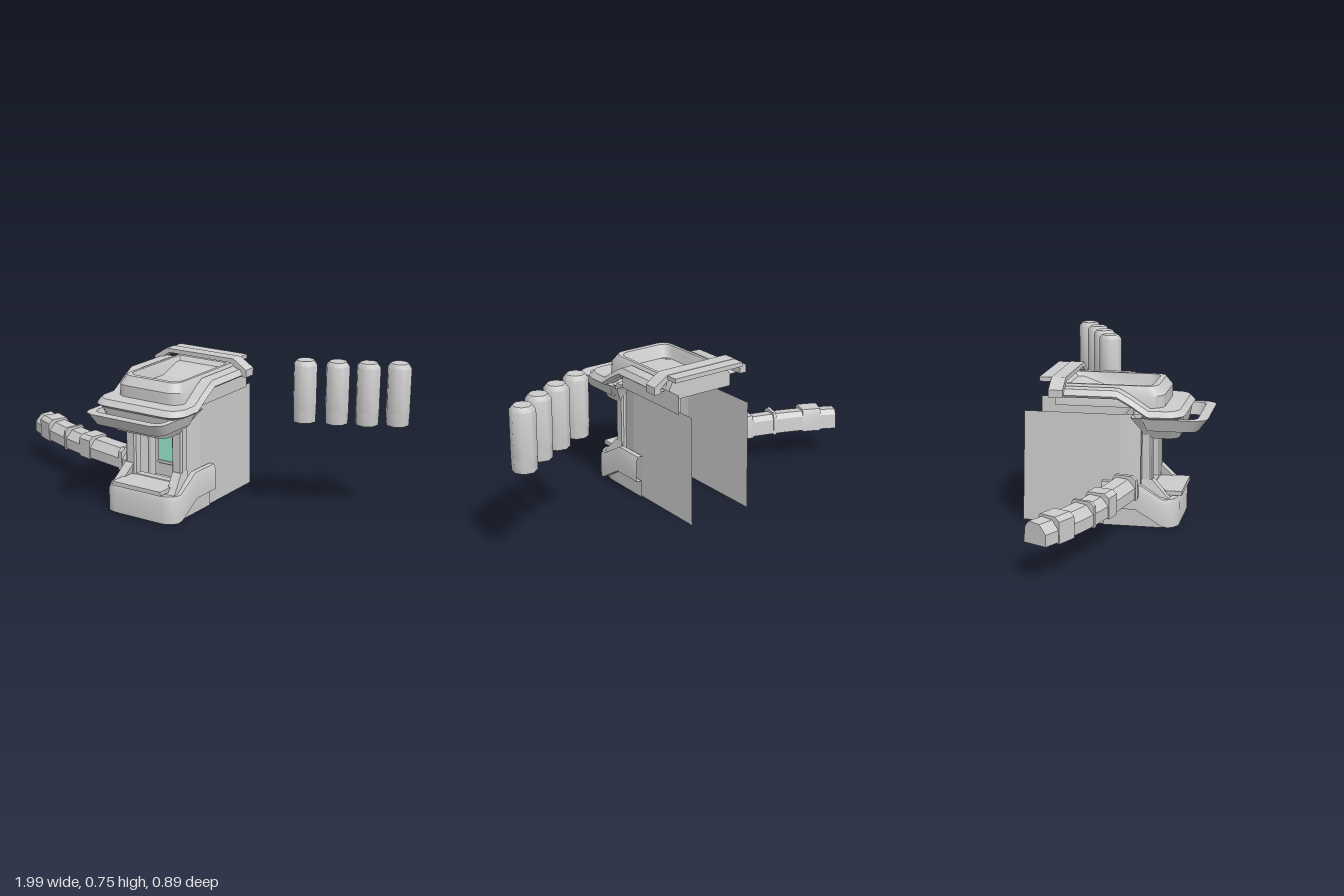
import * as THREE from 'three';
import { toCreasedNormals } from 'three/addons/utils/BufferGeometryUtils.js';

const grey = new THREE.MeshStandardMaterial({ color: 0xcccccc, side: THREE.DoubleSide });
const outerOnly = new THREE.MeshStandardMaterial({ color: 0xcccccc });
const teal = new THREE.MeshStandardMaterial({ color: 0x99eacc });

function add(parent, name, geometry, material = grey) {
  const mesh = new THREE.Mesh(geometry, material);
  mesh.name = name;
  parent.add(mesh);
  return mesh;
}

function box(parent, name, x0, x1, y0, y1, z0, z1, material = grey) {
  const m = add(parent, name, new THREE.BoxGeometry(x1 - x0, y1 - y0, z1 - z0), material);
  m.position.set((x0 + x1) / 2, (y0 + y1) / 2, (z0 + z1) / 2);
  return m;
}

// Skins a list of cross-sections (equal point counts); optional closing and end caps.
function loft(sections, { closed = false, wrap = false, caps = [], crease = 0.6 } = {}) {
  const pos = [];
  const tri = (a, b, c) => pos.push(...a, ...b, ...c);
  const n = sections[0].length;
  const rows = wrap ? sections.length : sections.length - 1;
  for (let i = 0; i < rows; i++) {
    const a = sections[i], b = sections[(i + 1) % sections.length];
    for (let j = 0; j < (closed ? n : n - 1); j++) {
      const k = (j + 1) % n;
      tri(a[j], b[k], a[k]);
      tri(a[j], b[j], b[k]);
    }
  }
  for (const c of caps) {
    const s = sections[c], mid = [0, 1, 2].map(k => s.reduce((t, p) => t + p[k], 0) / n);
    for (let j = 0; j < n; j++) c ? tri(mid, s[(j + 1) % n], s[j]) : tri(mid, s[j], s[(j + 1) % n]);
  }
  const g = new THREE.BufferGeometry();
  g.setAttribute('position', new THREE.Float32BufferAttribute(pos, 3));
  return toCreasedNormals(g, crease);
}

// U-shaped outline in plan with rounded front corners; height may depend on z.
function outline(hw, back, front, r, height, stops = []) {
  const y = typeof height === 'function' ? height : () => height;
  const half = [back, ...stops].map(z => [hw, z]);
  for (let i = 0; i <= 4; i++) {
    const a = (i / 4) * Math.PI / 2;
    half.push([hw - r + r * Math.cos(a), front - r + r * Math.sin(a)]);
  }
  const full = [...half, ...half.slice().reverse().map(([x, z]) => [-x, z])];
  return full.map(([x, z]) => [x, y(z), z]);
}

// Straight ramp between two heights along z
const ramp = (z0, y0, z1, y1) => z =>
  y0 + (y1 - y0) * THREE.MathUtils.clamp((z - z0) / (z1 - z0), 0, 1);

function polygon(points, hole) {
  const s = new THREE.Shape(points.map(p => new THREE.Vector2(...p)));
  if (hole) s.holes.push(new THREE.Path(hole.map(p => new THREE.Vector2(...p))));
  return s;
}

function buildBase(m) {
  const rim = ramp(0.12, 0.21, 0.24, 0.138), stops = [0.12, 0.18];
  const upper = z => rim(z) - 0.025;
  const low = ramp(0.12, 0.085, 0.25, 0.006);
  // Front tub whose arms sweep up along both sides
  add(m, 'baseShell', loft([
    outline(0.168, -0.035, 0.28, 0.06, 0, stops),
    outline(0.17, -0.035, 0.29, 0.06, low, stops),
    outline(0.2, -0.035, 0.31, 0.07, z => low(z) + 0.003, stops),
    outline(0.2, -0.035, 0.31, 0.07, upper, stops),
    outline(0.19, -0.035, 0.3, 0.06, rim, stops),
    outline(0.165, -0.035, 0.275, 0.05, rim, stops),
    outline(0.16, -0.035, 0.27, 0.05, 0.003, stops),
  ], { wrap: true }));
  box(m, 'baseShelf', -0.16, 0.16, 0.122, 0.135, 0.04, 0.28);
  box(m, 'dripTray', -0.135, 0.135, 0.145, 0.165, 0.15, 0.322);
}

function buildBody(m) {
  for (const s of [-1, 1]) {
    // Mirrors a section across x, keeping its faces outward
    const mirror = pts => (s > 0 ? pts : pts.map(([x, y, z]) => [-x, y, z]).reverse());
    // Thin side panel with an angled front corner
    add(m, 'sidePanel', loft([
      mirror([[0.16, 0, -0.41], [0.16, 0, 0.04], [0.135, 0, 0.14]]),
      mirror([[0.16, 0.515, -0.395], [0.16, 0.515, 0.04], [0.135, 0.515, 0.14]]),
    ], { crease: 0.05 }));
    // Flared foot of the front pillar
    add(m, 'pillarFoot', loft([
      mirror([[0.11, 0.22, 0.19], [0.158, 0.22, 0.19], [0.158, 0.22, 0.14], [0.11, 0.22, 0.14]]),
      mirror([[0.13, 0.13, 0.275], [0.175, 0.13, 0.275], [0.175, 0.13, 0.14], [0.13, 0.13, 0.14]]),
    ], { closed: true, caps: [0, 1] }));
    box(m, 'recessWall', s * 0.12 - 0.005, s * 0.12 + 0.005, 0.13, 0.5, 0.05, 0.15);
    const rod = add(m, 'recessColumn', new THREE.CylinderGeometry(0.02, 0.02, 0.3, 10));
    rod.position.set(s * 0.08, 0.28, 0.085);
  }
  const frame = new THREE.ExtrudeGeometry(polygon(
    [[-0.15, 0.13], [0.15, 0.13], [0.15, 0.5], [-0.15, 0.5]],
    [[-0.11, 0.16], [0.11, 0.16], [0.11, 0.38], [0.08, 0.42], [-0.08, 0.42], [-0.11, 0.38]],
  ), { depth: 0.035, bevelThickness: 0.008, bevelSize: 0.008, bevelSegments: 1 });
  add(m, 'frontFrame', frame).position.z = 0.144;
  box(m, 'recessBack', -0.12, 0.12, 0.13, 0.5, 0.045, 0.055);
  box(m, 'windowPanel', -0.05, 0.05, 0.2, 0.37, 0.055, 0.075, teal);
  box(m, 'windowSill', -0.05, 0.05, 0.205, 0.218, 0.06, 0.082);
  const wall = add(m, 'upperSideWall', new THREE.PlaneGeometry(0.43, 0.09), outerOnly);
  wall.rotation.y = Math.PI / 2;
  wall.position.set(0.18, 0.558, -0.115);
}

function buildTop(m) {
  // Tapered underside of the canopy
  add(m, 'canopyUnderside', loft([
    outline(0.15, 0.15, 0.305, 0.05, 0.41),
    outline(0.17, 0.14, 0.318, 0.05, 0.45),
    outline(0.215, 0.1, 0.328, 0.06, 0.515),
  ], { closed: true, caps: [0] }));

  // Front grab bar
  add(m, 'grabBar', loft([
    outline(0.19, 0.17, 0.395, 0.05, 0.452),
    outline(0.212, 0.15, 0.438, 0.06, 0.51),
    outline(0.182, 0.15, 0.392, 0.04, 0.51),
    outline(0.17, 0.17, 0.37, 0.04, 0.452),
  ], { wrap: true }));

  // Canopy skirt, stepping up towards the back
  const stops = [0.04, 0.1, 0.18];
  const at = y => { const f = ramp(0.05, 0.085, 0.18, 0); return z => y + f(z); };
  add(m, 'canopy', loft([
    outline(0.17, -0.23, 0.23, 0.05, at(0.51), stops),
    outline(0.225, -0.23, 0.32, 0.08, at(0.512), stops),
    outline(0.243, -0.23, 0.338, 0.08, at(0.525), stops),
    outline(0.225, -0.23, 0.315, 0.07, at(0.55), stops),
    outline(0.17, -0.23, 0.23, 0.05, at(0.552), stops),
  ], { wrap: true }));

  // Raised hood with a sunken tray
  const floor = ramp(-0.18, 0.625, -0.07, 0.585);
  add(m, 'hood', loft([
    outline(0.175, -0.25, 0.24, 0.06, 0.55, [-0.07]),
    outline(0.172, -0.25, 0.24, 0.06, 0.605, [-0.07]),
    outline(0.15, -0.25, 0.21, 0.05, 0.645, [-0.07]),
    outline(0.135, -0.23, 0.185, 0.045, 0.645, [-0.07]),
    outline(0.12, -0.21, 0.16, 0.04, floor, [-0.07]),
  ], { closed: true }));
  const f = (x, z) => [x, floor(z), z];
  add(m, 'hoodTray', loft([-0.21, -0.18, -0.07, 0.12, 0.16].map(z => {
    const w = z > 0.13 ? 0.08 : 0.12;
    return [f(-w, z), f(w, z)];
  }), { crease: 0.1 }));

  // Rear arch and its overhanging plate
  const arch = polygon([
    [-0.26, 0.6], [-0.26, 0.635], [-0.19, 0.68], [0.19, 0.68], [0.26, 0.635], [0.26, 0.6],
    [0.225, 0.6], [0.225, 0.625], [0.175, 0.66], [-0.175, 0.66], [-0.225, 0.625], [-0.225, 0.6],
  ]);
  add(m, 'rearArch', new THREE.ExtrudeGeometry(arch, { depth: 0.065, bevelEnabled: false }))
    .position.z = -0.26;
  box(m, 'rearPlate', -0.19, 0.19, 0.658, 0.678, -0.317, -0.23);
}

function buildArm(root) {
  const arm = new THREE.Group();
  arm.name = 'sideArm';
  root.add(arm);
  const path = new THREE.CatmullRomCurve3(
    [[-0.27, 0.03], [-0.525, -0.075], [-0.7, -0.16], [-0.85, -0.252], [-0.96, -0.335]]
      .map(([x, z]) => new THREE.Vector3(x, 0, z)));
  const beam = [[-0.05, 0.22], [-0.03, 0.243], [0.025, 0.238], [0.058, 0.2], [0.058, 0.15], [-0.058, 0.15]];
  // Blocks gripping the front and top, flush with the smooth rear face
  const clamp = [[-0.052, 0.23], [-0.04, 0.253], [0.04, 0.253], [0.062, 0.235], [0.062, 0.143], [-0.058, 0.143]];
  const section = (profile, t) => {
    const p = path.getPointAt(t), d = path.getTangentAt(t);
    return profile.map(([o, y]) => [p.x + d.z * o, y, p.z - d.x * o]);
  };
  const span = (name, profile, t0, t1, steps) => add(arm, name, loft(
    Array.from({ length: steps + 1 }, (_, i) => section(profile, t0 + (t1 - t0) * i / steps)),
    { closed: true, caps: [0, steps], crease: 0.5 }));
  span('armBeam', beam, 0, 1, 16);
  span('armClamp', clamp, 0.33, 0.43, 2);
  span('armClamp', clamp, 0.78, 0.9, 2);
  span('armRing', clamp, 0.575, 0.595, 1);
  span('armRing', clamp, 0.03, 0.06, 1);
}

function buildCanisters(root) {
  const lathe = pts => toCreasedNormals(
    new THREE.LatheGeometry(pts.map(p => new THREE.Vector2(...p)), 8), 0.8);
  const body = lathe([[0, 0.52], [0.055, 0.52], [0.055, 0.725], [0.04, 0.745], [0, 0.745]]);
  const cup = lathe([[0.046, 0.52], [0.046, 0.462], [0.053, 0.462], [0.055, 0.52]]);
  for (const [x, z] of [[0.542, -0.054], [0.683, -0.085], [0.814, -0.12], [0.941, -0.167]]) {
    const can = new THREE.Group();
    can.name = 'canister';
    add(can, 'canisterBody', body);
    add(can, 'canisterFoot', cup);
    can.position.set(x, 0, z);
    root.add(can);
  }
}

export function createModel() {
  const root = new THREE.Group();
  root.name = 'machineWithArmAndCanisters';
  const machine = new THREE.Group();
  machine.name = 'machine';
  machine.position.set(-0.073, 0, -0.0135);
  machine.rotation.y = -0.183;
  root.add(machine);
  buildBase(machine);
  buildBody(machine);
  buildTop(machine);
  buildArm(root);
  buildCanisters(root);
  return root;
}
